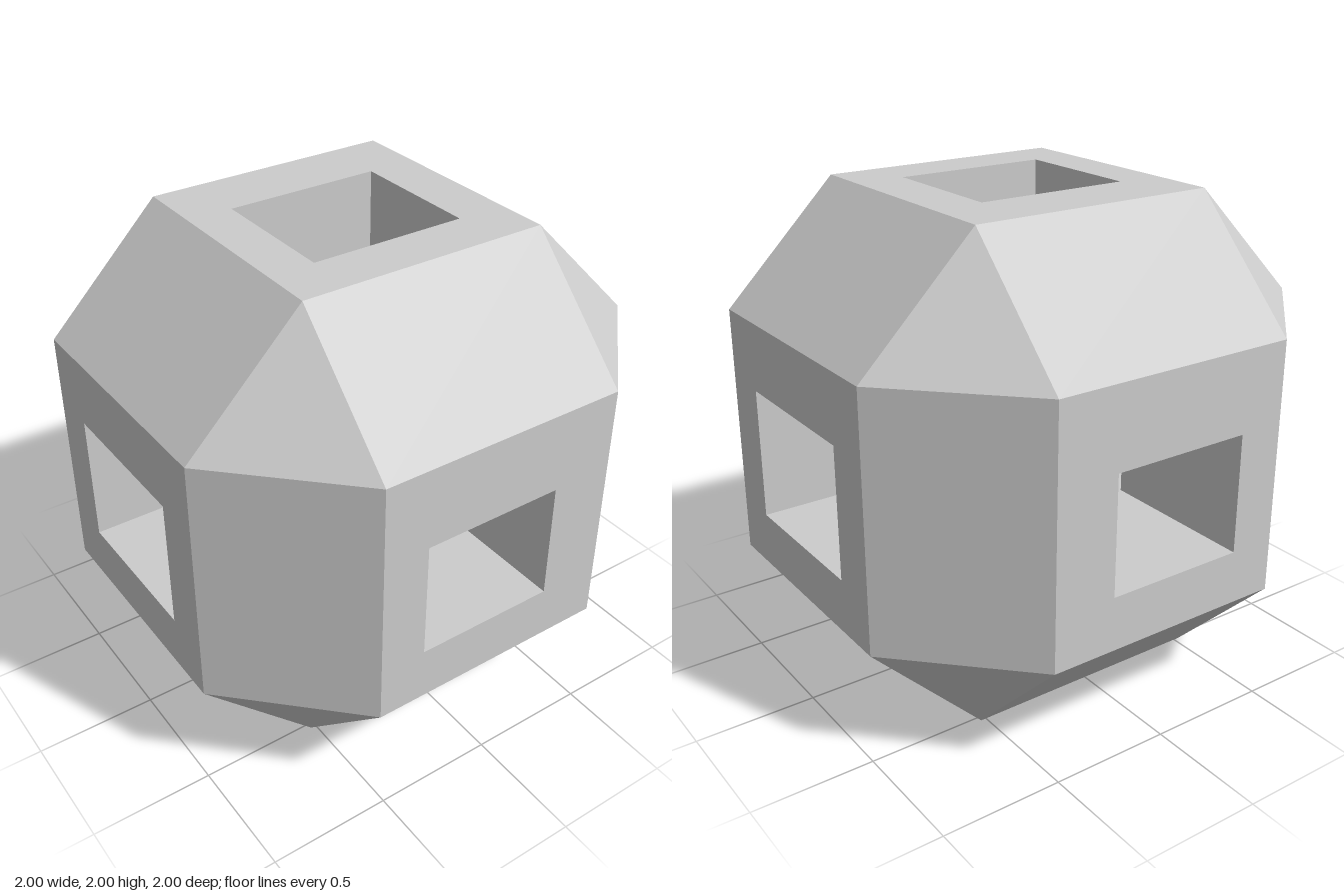
import * as THREE from 'three';

const R = 1;       // distance of the square panels from the centre
const H = 0.523;   // half width of the square panels

// Tunnel bounding boxes [min, max], one running along each axis (x, y, z)
const tunnels = [
  [[-R, -0.30, -0.325], [R, 0.24, 0.325]],
  [[-0.335, -R, -0.25], [0.315, R, 0.31]],
  [[-0.33, -0.30, -R], [0.26, 0.19, R]],
];

// Point with value a on the given axis, b and c on the following two
function at(axis, a, b, c) {
  const p = [0, 0, 0];
  p[axis] = a;
  p[(axis + 1) % 3] = b;
  p[(axis + 2) % 3] = c;
  return new THREE.Vector3(...p);
}

// Adds a convex polygon as a fan, wound so that it faces along dir
function addFace(out, points, dir) {
  const n = points[1].clone().sub(points[0]).cross(points[2].clone().sub(points[0]));
  const pts = n.dot(dir) < 0 ? [...points].reverse() : points;
  for (let i = 1; i < pts.length - 1; i++) {
    for (const p of [pts[0], pts[i], pts[i + 1]]) out.push(p.x, p.y, p.z);
  }
}

function makeMesh(name, positions) {
  const geometry = new THREE.BufferGeometry();
  geometry.setAttribute('position', new THREE.Float32BufferAttribute(positions, 3));
  geometry.computeVertexNormals();
  const material = new THREE.MeshStandardMaterial({ color: 0xcccccc, flatShading: true });
  const mesh = new THREE.Mesh(geometry, material);
  mesh.name = name;
  return mesh;
}

// Six square panels, each a frame of four trapezoids around its opening
function squarePanels() {
  const out = [];
  for (let axis = 0; axis < 3; axis++) {
    const [lo, hi] = tunnels[axis];
    const u = (axis + 1) % 3, v = (axis + 2) % 3;
    const outer = [[-H, -H], [H, -H], [H, H], [-H, H]];
    const inner = [[lo[u], lo[v]], [hi[u], lo[v]], [hi[u], hi[v]], [lo[u], hi[v]]];
    for (const s of [-R, R]) {
      for (let i = 0; i < 4; i++) {
        const j = (i + 1) % 4;
        const corners = [outer[i], outer[j], inner[j], inner[i]];
        addFace(out, corners.map(([b, c]) => at(axis, s, b, c)), at(axis, s, 0, 0));
      }
    }
  }
  return makeMesh('squarePanels', out);
}

// Twelve bevels joining neighbouring panels
function edgeBevels() {
  const out = [];
  for (let axis = 0; axis < 3; axis++) {
    for (const s of [-1, 1]) for (const t of [-1, 1]) {
      addFace(out, [
        at(axis, -H, s * R, t * H), at(axis, H, s * R, t * H),
        at(axis, H, s * H, t * R), at(axis, -H, s * H, t * R),
      ], at(axis, 0, s, t));
    }
  }
  return makeMesh('edgeBevels', out);
}

// Eight triangular corner facets
function cornerFacets() {
  const out = [];
  for (const x of [-1, 1]) for (const y of [-1, 1]) for (const z of [-1, 1]) {
    addFace(out, [
      new THREE.Vector3(x * R, y * H, z * H),
      new THREE.Vector3(x * H, y * R, z * H),
      new THREE.Vector3(x * H, y * H, z * R),
    ], new THREE.Vector3(x, y, z));
  }
  return makeMesh('cornerFacets', out);
}

// Walls of the three crossing tunnels: split space at every tunnel plane and
// put a wall wherever an open cell meets a solid one
function tunnelWalls() {
  const out = [];
  const cuts = [0, 1, 2].map((k) =>
    [...new Set(tunnels.flatMap(([lo, hi]) => [lo[k], hi[k]]))].sort((a, b) => a - b));
  const isOpen = (cell) => {
    const mid = cell.map((c, k) => (cuts[k][c] + cuts[k][c + 1]) / 2);
    return tunnels.some(([lo, hi]) => mid.every((m, k) => m > lo[k] && m < hi[k]));
  };
  for (let i = 0; i < cuts[0].length - 1; i++)
    for (let j = 0; j < cuts[1].length - 1; j++)
      for (let k = 0; k < cuts[2].length - 1; k++) {
        const cell = [i, j, k];
        if (!isOpen(cell)) continue;
        for (let axis = 0; axis < 3; axis++) for (const s of [-1, 1]) {
          const next = [...cell];
          next[axis] += s;
          const atMouth = next[axis] < 0 || next[axis] > cuts[axis].length - 2;
          if (atMouth || isOpen(next)) continue;
          const u = (axis + 1) % 3, v = (axis + 2) % 3;
          const a = cuts[axis][cell[axis] + (s > 0 ? 1 : 0)];
          const [b0, b1] = [cuts[u][cell[u]], cuts[u][cell[u] + 1]];
          const [c0, c1] = [cuts[v][cell[v]], cuts[v][cell[v] + 1]];
          addFace(out, [at(axis, a, b0, c0), at(axis, a, b1, c0),
            at(axis, a, b1, c1), at(axis, a, b0, c1)], at(axis, -s, 0, 0));
        }
      }
  return makeMesh('tunnelWalls', out);
}

export function createModel() {
  const model = new THREE.Group();
  model.name = 'piercedPolyhedron';
  const body = new THREE.Group();
  body.name = 'body';
  body.add(squarePanels(), edgeBevels(), cornerFacets(), tunnelWalls());
  body.position.y = R;
  model.add(body);
  return model;
}
